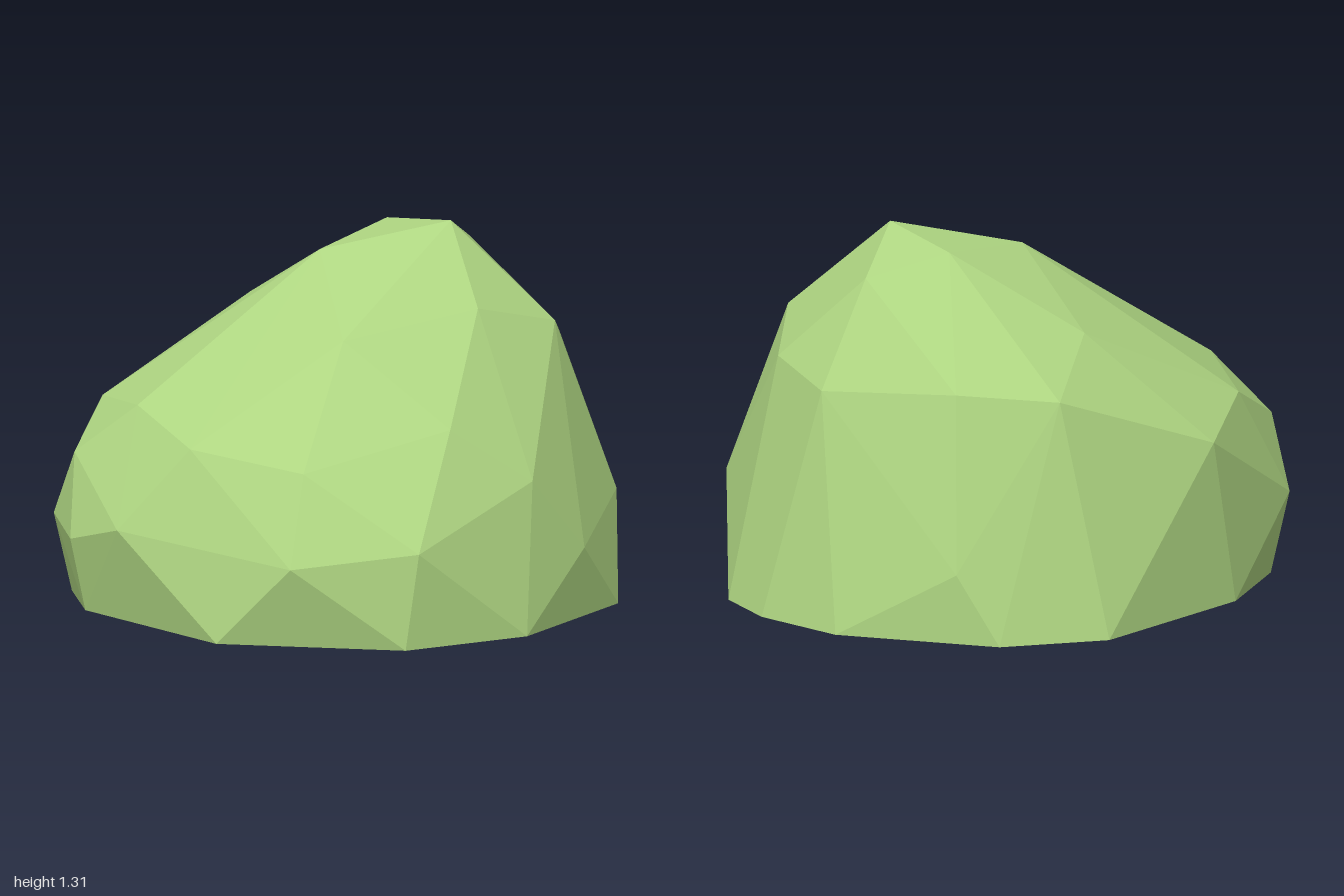
import * as THREE from 'three';
import { ConvexGeometry } from 'three/addons/geometries/ConvexGeometry.js';

// Corners of the faceted mound, as x, y, z
const base = [
  [0.99, 0, -0.03], [0.79, 0, 0.59], [0.42, 0, 0.92], [-0.26, 0, 0.94],
  [-0.83, 0, 0.47], [-0.945, 0, 0.15], [-0.92, 0, -0.22], [-0.62, 0, -0.8],
  [-0.27, 0, -0.99], [0.33, 0, -1], [0.64, 0, -0.86], [0.81, 0, -0.69],
];
const lower = [
  [0.92, 0.25, 0.22], [0.46, 0.34, 0.88], [0.02, 0.29, 1], [-0.67, 0.34, 0.69],
  [-0.88, 0.26, 0.49], [-1, 0.29, 0.2], [-0.11, 0.25, -0.985], [0.93, 0.36, -0.29],
];
const middle = [
  [0.77, 0.52, 0.4], [0.5, 0.72, 0.53], [0.03, 0.6, 0.82], [-0.41, 0.64, 0.67],
  [-0.66, 0.73, 0.38], [-0.9, 0.54, 0.32], [-0.855, 0.69, 0.05], [-0.86, 0.6, -0.29],
  [-0.41, 0.83, -0.7], [-0.06, 0.86, -0.81], [0.44, 0.83, -0.79], [0.67, 0.87, -0.54],
];
const crown = [
  [0.72, 0.97, -0.23], [0.5, 1.06, 0.05], [0.08, 0.99, 0.37], [-0.1, 1.22, -0.09],
  [-0.41, 0.995, -0.38], [0.07, 1.27, -0.44], [0.34, 1.19, -0.57], [0.34, 1.31, -0.25],
];

// Drop the triangles lying on the ground so the shell is open underneath
function openBottom(geometry) {
  const source = geometry.getAttribute('position').array;
  const kept = [];
  for (let i = 0; i < source.length; i += 9) {
    if (Math.max(source[i + 1], source[i + 4], source[i + 7]) > 0.001) {
      kept.push(...source.slice(i, i + 9));
    }
  }
  const shell = new THREE.BufferGeometry();
  shell.setAttribute('position', new THREE.Float32BufferAttribute(kept, 3));
  shell.computeVertexNormals();
  return shell;
}

export function createModel() {
  const leafGreen = new THREE.MeshStandardMaterial({
    color: 0xaed581, flatShading: true, side: THREE.DoubleSide,
  });
  leafGreen.name = 'leafGreen';

  const points = [...base, ...lower, ...middle, ...crown].map((p) => new THREE.Vector3(...p));
  const foliage = new THREE.Mesh(openBottom(new ConvexGeometry(points)), leafGreen);
  foliage.name = 'foliage';

  const group = new THREE.Group();
  group.name = 'bush';
  group.add(foliage);
  return group;
}
